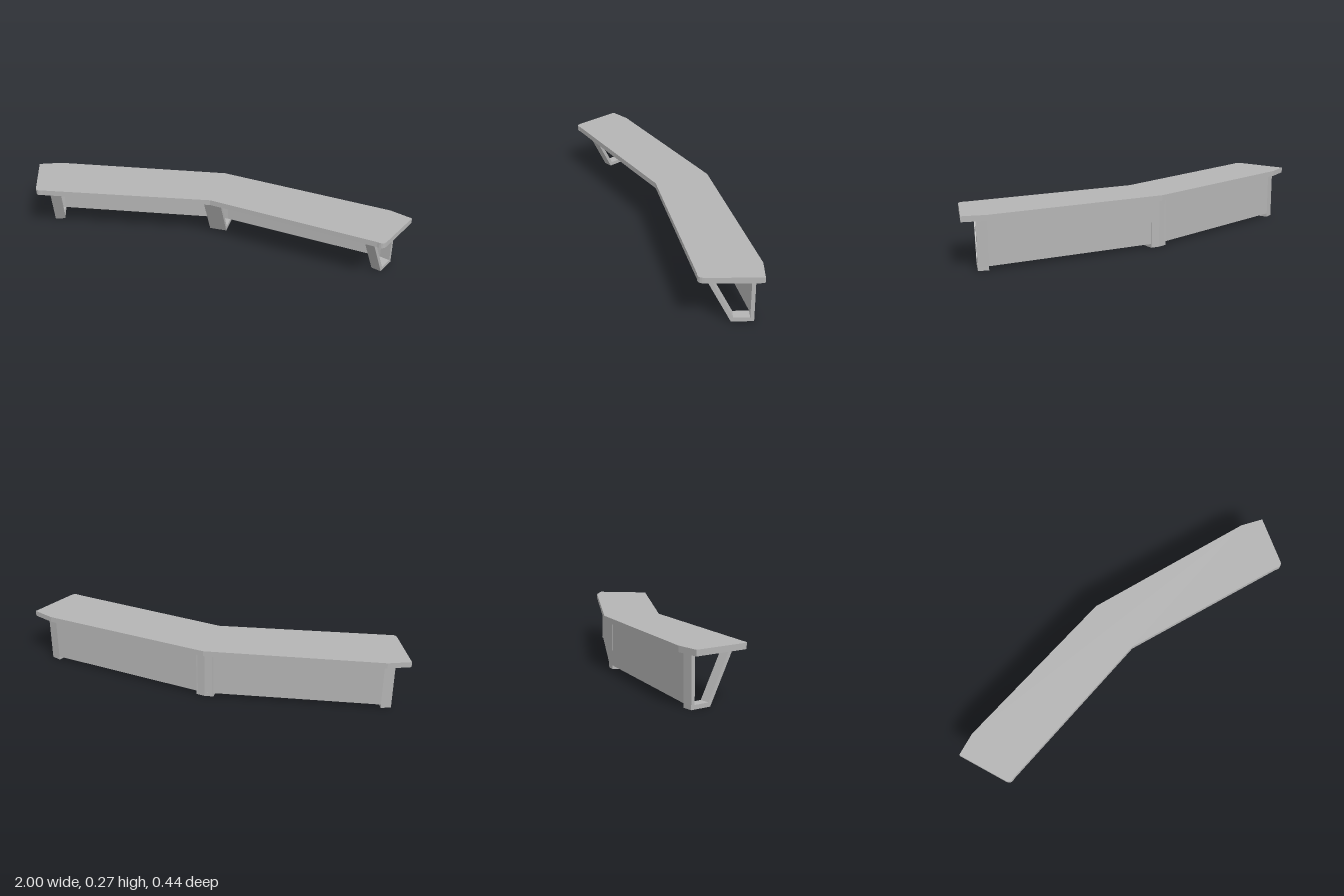
import * as THREE from 'three';

// Symmetric plan outline (x, z for the +x half, back to front), extruded upwards
function planSlab(draw, y0, y1) {
  const geo = new THREE.ExtrudeGeometry(draw, { depth: y1 - y0, bevelEnabled: false, curveSegments: 6 });
  geo.rotateX(-Math.PI / 2);
  geo.translate(0, y0, 0);
  return geo;
}

// Closed V-shaped shape from half-outline points; first and last lie on x = 0
function mirroredShape(half) {
  const left = half.slice(1, -1).reverse().map(([x, z]) => [-x, z]);
  return new THREE.Shape([...half, ...left].map(([x, z]) => new THREE.Vector2(x, -z)));
}

// Sloping open leg frame, back face at z = 0, centred on x = 0
function legFrame(width) {
  const pts = (list) => list.map(([u, y]) => new THREE.Vector2(u, y));
  const shape = new THREE.Shape(pts([[0, 0], [0.104, 0], [0.231, 0.246], [0, 0.246]]));
  shape.holes.push(new THREE.Path(pts([[0.018, 0.02], [0.018, 0.232], [0.204, 0.232], [0.094, 0.02]])));
  const geo = new THREE.ExtrudeGeometry(shape, { depth: width, bevelEnabled: false });
  geo.rotateY(-Math.PI / 2);
  geo.translate(width / 2, 0, 0);
  return geo;
}

export function createModel() {
  const group = new THREE.Group();
  const grey = new THREE.MeshStandardMaterial({ color: 0xb4b4b4 });
  grey.name = 'grey';
  const add = (geo, name, x = 0, z = 0, turn = 0) => {
    const mesh = new THREE.Mesh(geo, grey);
    mesh.name = name;
    mesh.position.set(x, 0, z);
    mesh.rotation.y = turn;
    group.add(mesh);
  };

  // Angled seat slab with rounded front corners
  const corner = new THREE.QuadraticBezierCurve(
    new THREE.Vector2(0.905, 0.2), new THREE.Vector2(0.893, 0.231), new THREE.Vector2(0.862, 0.216));
  const rounded = corner.getPoints(6).map((p) => [p.x, p.y]);
  const seat = mirroredShape([[0, -0.22], [0.89, -0.085], [1, -0.04], ...rounded, [0, 0.07]]);
  add(planSlab(seat, 0.245, 0.273), 'seat');

  // Bent back panel beneath the seat
  const panel = mirroredShape([[0, -0.195], [0.876, -0.057], [0.925, -0.037],
    [0.919, -0.02], [0.87, -0.039], [0, -0.176]]);
  add(planSlab(panel, 0.02, 0.245), 'backPanel');

  // Centre foot follows the bend of the panel
  const foot = mirroredShape([[0, -0.195], [0.045, -0.188], [0.045, -0.17], [0, -0.17]]);
  add(planSlab(foot, 0, 0.02), 'centreFoot');

  // Leg frames: one in the middle, one turned in at each end
  add(legFrame(0.09), 'centreLeg', 0, -0.189);
  for (const s of [1, -1]) {
    add(legFrame(0.052), s > 0 ? 'leftLeg' : 'rightLeg', s * 0.901, -0.0465, -s * 0.375);
  }
  return group;
}
